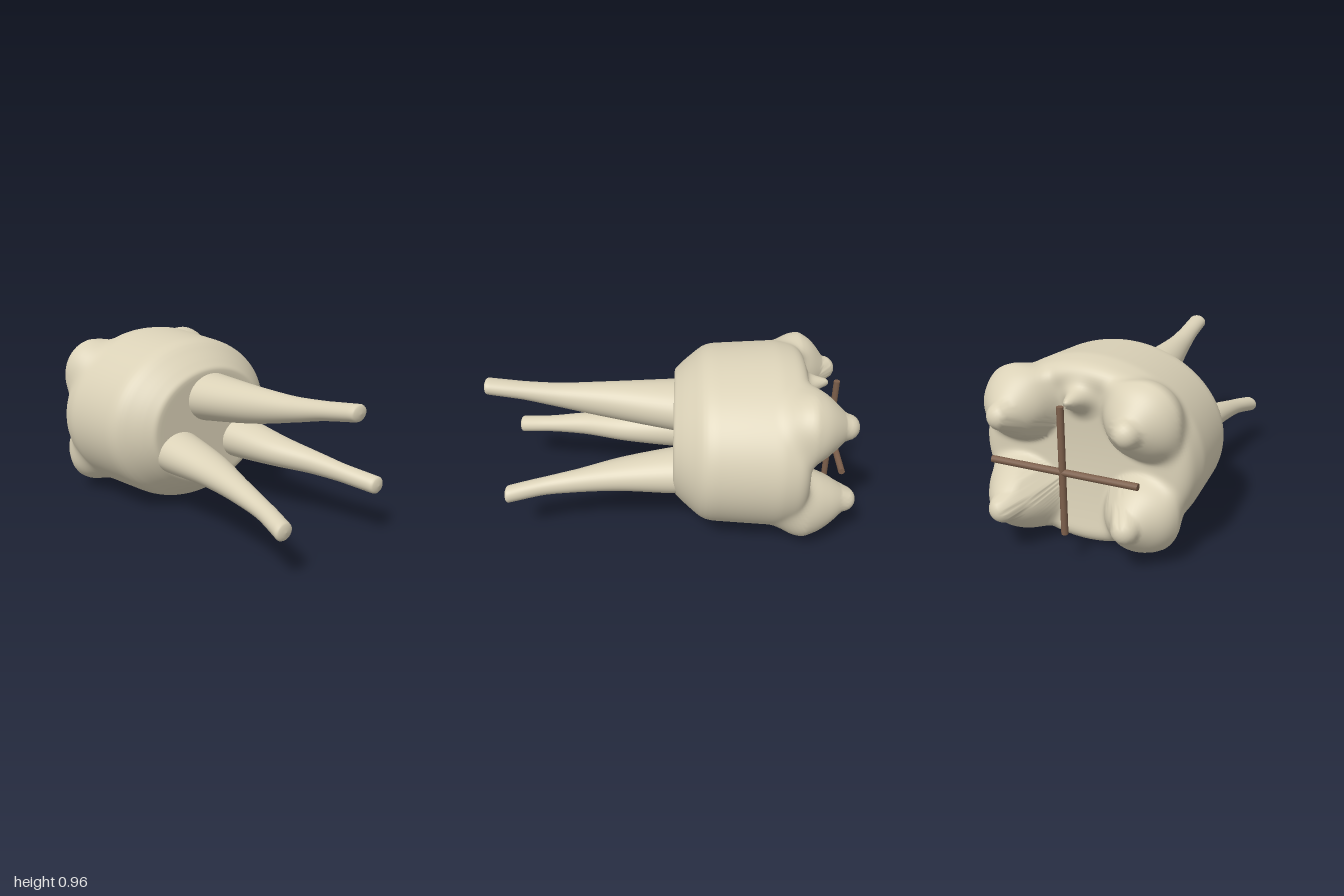
import * as THREE from 'three';

const RX = 0.575, RY = 0.48, CY = 0.48, CZ = -0.12;
const { clamp, lerp, smoothstep } = THREE.MathUtils;

// Closed skin of rows x cols points; columns wrap around the z axis, rows run from +z to -z
function skin(rows, cols, point) {
  const pos = [], idx = [];
  for (let i = 0; i <= rows; i++)
    for (let j = 0; j < cols; j++) pos.push(...point(i / rows, (j / cols) * Math.PI * 2));
  for (let i = 0; i < rows; i++)
    for (let j = 0; j < cols; j++) {
      const k = (j + 1) % cols, a = i * cols + j, b = a + cols, c = i * cols + k, d = c + cols;
      idx.push(a, b, c, b, d, c);
    }
  const g = new THREE.BufferGeometry();
  g.setAttribute('position', new THREE.Float32BufferAttribute(pos, 3));
  g.setIndex(idx);
  g.computeVertexNormals();
  return g;
}

// Crown outline: [z, relative radius]
const OUTLINE = [[0.06, 0.54], [-0.02, 0.67], [-0.07, 0.77], [-0.17, 0.935], [-0.22, 0.965], [-0.4, 0.985], [-0.57, 1.003], [-0.66, 0.97], [-0.76, 0.88], [-0.9, 0.6]];
function outlineAt(z) {
  const i = Math.max(1, OUTLINE.findIndex(([zi]) => z >= zi));
  const [z0, r0] = OUTLINE[i - 1], [z1, r1] = OUTLINE[i];
  return lerp(r0, r1, clamp((z - z0) / (z1 - z0), 0, 1));
}
const outline = (z) => {
  const y = clamp(z, -0.87, 0.02);
  return (outlineAt(y - 0.025) + 2 * outlineAt(y) + outlineAt(y + 0.025)) / 4;
};

// Cusps as domed, tapered round cones: base point, tip point, base and tip radius
const CUSPS = [
  [1, 1, -0.965], [-1, 1, -0.93], [1, -1, -1.0], [-1, -1, -0.95],
].map(([sx, sy, tip]) => ({
  a: [sx * 0.325, CY + sy * 0.245, -0.72], b: [sx * 0.31, CY + sy * 0.23, tip + 0.07],
  ra: 0.185, rb: 0.07, dome: 0.02,
}));
// Small extra cusp on the upper rim
CUSPS.push({ a: [0, 0.78, -0.7], b: [0, 0.79, -0.82], ra: 0.07, rb: 0.025, dome: 0 });

function smoothMin(a, b, k) {
  const h = Math.max(k - Math.abs(a - b), 0) / k;
  return Math.min(a, b) - h * h * k * 0.25;
}

// Signed field of the blended crown
function crownField(x, y, z) {
  const rho = Math.hypot(x / RX, (y - CY) / RY);
  const floor = -0.735 + 0.05 * Math.max(0, 1 - rho * rho);
  const inside = smoothMin((outline(z) - rho) * 0.5, z - floor, 0.07);
  let d = -smoothMin(inside, -0.02 - z, 0.015);
  // Blend is tight on the flanks and soft between the cusps
  const blend = lerp(0.13, 0.045, smoothstep(z, -0.82, -0.66));
  for (const { a, b, ra, rb, dome } of CUSPS) {
    const h = clamp((z - a[2]) / (b[2] - a[2]), 0, 1);
    const r = lerp(ra, rb, h) + dome * Math.sin(Math.PI * h);
    const dist = Math.hypot(x - lerp(a[0], b[0], h), y - lerp(a[1], b[1], h), z - lerp(a[2], b[2], h));
    d = smoothMin(d, dist - r, dome ? blend : 0.06);
  }
  return d;
}

// Crown surface found along rays from an inner point
function crownGeometry() {
  return skin(180, 180, (u, phi) => {
    const th = Math.PI * u, s = Math.sin(th);
    const dir = [RX * s * Math.cos(phi), RY * s * Math.sin(phi), 0.5 * Math.cos(th)];
    const at = (t) => [dir[0] * t, CY + dir[1] * t, CZ + dir[2] * t];
    let out = 2.1;
    while (out > 0.06 && crownField(...at(out)) > 0) out -= 0.03;
    let lo = out, hi = out + 0.03;
    for (let n = 0; n < 16; n++) {
      const mid = (lo + hi) / 2;
      if (crownField(...at(mid)) > 0) hi = mid; else lo = mid;
    }
    return at(lo);
  });
}

// Root through cross-sections [x, y, z, rx, ry], tip first, with a softly rounded end
function rootGeometry(sections) {
  const path = new THREE.CatmullRomCurve3(sections.map(([x, y, z]) => new THREE.Vector3(x, y, z)));
  const size = new THREE.CatmullRomCurve3(sections.map((s) => new THREE.Vector3(s[3], s[4], 0)));
  const caps = [0, 0.5, 0.8, 0.93], rows = 44;
  return skin(rows, 40, (u, phi) => {
    const i = Math.round(u * rows);
    const t = Math.max(0, (i - caps.length) / (rows - caps.length));
    const p = path.getPoint(t), r = size.getPoint(t);
    const k = i < caps.length ? caps[i] : 1;
    const dz = i < caps.length ? 0.02 * Math.sqrt(1 - k * k) : 0;
    return [p.x + r.x * k * Math.cos(phi), p.y + r.y * k * Math.sin(phi), p.z + dz];
  });
}

const ROOTS = {
  upperRoot: [[0.028, 0.765, 0.98, 0.055, 0.043], [0.02, 0.737, 0.8, 0.056, 0.048], [0.01, 0.703, 0.6, 0.068, 0.066],
    [0, 0.673, 0.35, 0.1, 0.097], [0, 0.645, -0.02, 0.162, 0.133], [0, 0.64, -0.1, 0.17, 0.14]],
  lowerLeftRoot: [[0.36, 0.292, 0.86, 0.05, 0.046], [0.318, 0.315, 0.68, 0.05, 0.049], [0.288, 0.332, 0.5, 0.065, 0.062],
    [0.245, 0.348, 0.27, 0.103, 0.085], [0.225, 0.365, -0.02, 0.142, 0.117], [0.22, 0.37, -0.1, 0.15, 0.12]],
  lowerRightRoot: [[-0.366, 0.27, 0.91, 0.052, 0.046], [-0.325, 0.3, 0.75, 0.053, 0.046], [-0.285, 0.33, 0.52, 0.071, 0.062],
    [-0.24, 0.348, 0.27, 0.107, 0.085], [-0.225, 0.365, -0.02, 0.143, 0.117], [-0.22, 0.37, -0.1, 0.15, 0.12]],
};

export function createModel() {
  const model = new THREE.Group();
  const enamel = new THREE.MeshStandardMaterial({ color: 0xdad1b7 });
  enamel.name = 'enamel';
  const brown = new THREE.MeshStandardMaterial({ color: 0x7c5f4b });
  brown.name = 'brown';
  const add = (name, geometry, material) => {
    const mesh = new THREE.Mesh(geometry, material);
    mesh.name = name;
    model.add(mesh);
    return mesh;
  };

  add('crown', crownGeometry(), enamel);
  for (const [name, sections] of Object.entries(ROOTS)) add(name, rootGeometry(sections), enamel);

  // Crossed rods over the chewing side
  const across = add('horizontalRod', new THREE.CylinderGeometry(0.017, 0.017, 0.76, 12), brown);
  across.rotation.z = Math.PI / 2;
  across.position.set(0, CY, -0.89);
  const upright = add('verticalRod', new THREE.CylinderGeometry(0.017, 0.017, 0.64, 12), brown);
  upright.position.set(0, CY, -0.89);

  return model;
}
